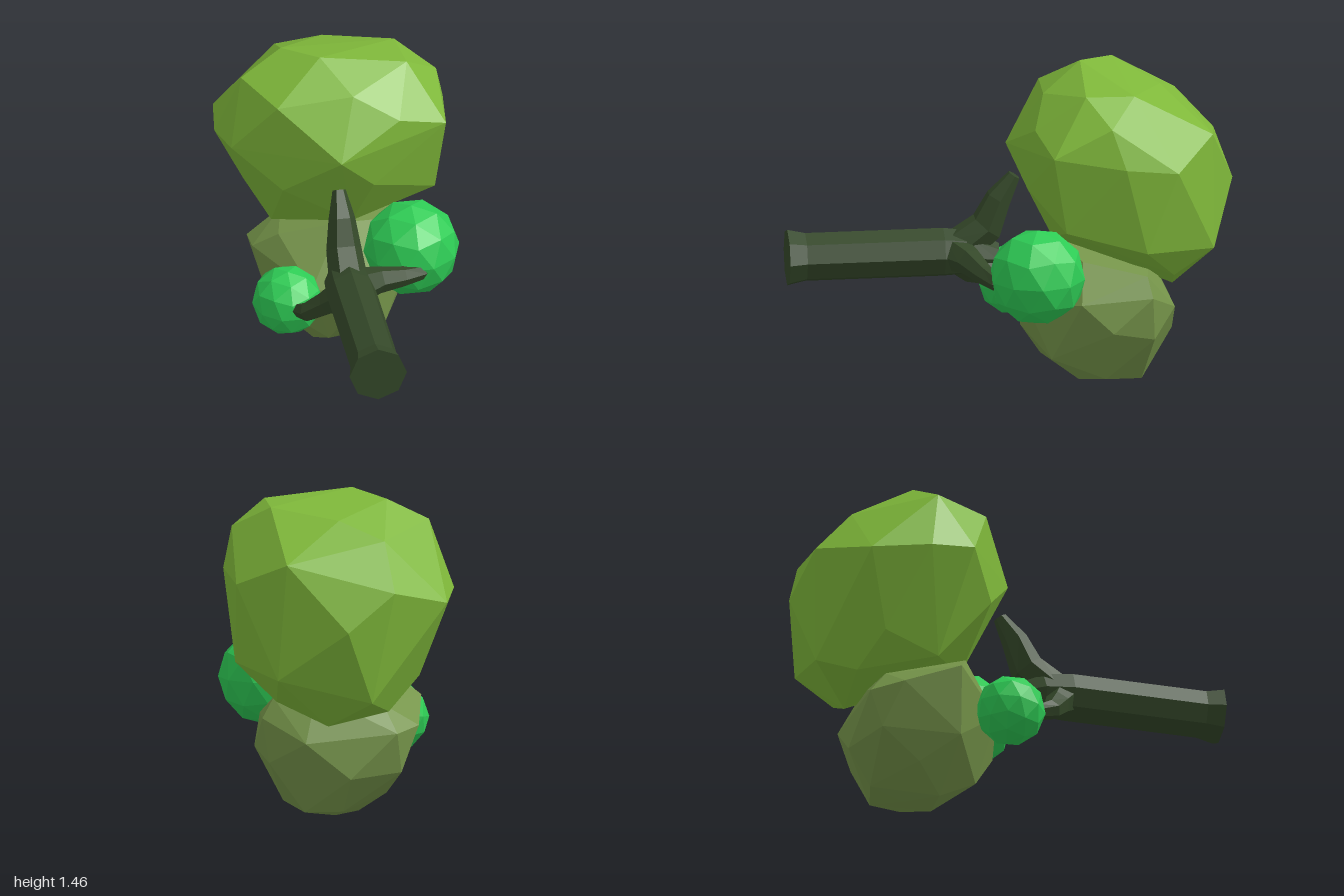
import * as THREE from 'three';
import { ConvexGeometry } from 'three/addons/geometries/ConvexGeometry.js';

const mat = (color) => new THREE.MeshStandardMaterial({ color, flatShading: true });
const v3 = (p) => new THREE.Vector3(p[0], p[1], p[2]);

// Faceted limb: rings of `sides` corners along a path of [x, y, z, radius], closed at both ends
function limb(path, sides) {
  const pts = path.map(v3);
  const pos = [], idx = [], n = pts.length;
  for (let i = 0; i < n; i++) {
    const dir = pts[Math.min(i + 1, n - 1)].clone().sub(pts[Math.max(i - 1, 0)]).normalize();
    const q = new THREE.Quaternion().setFromUnitVectors(new THREE.Vector3(0, 0, -1), dir);
    for (let s = 0; s < sides; s++) {
      const a = (s / sides) * Math.PI * 2;
      const c = new THREE.Vector3(Math.cos(a), Math.sin(a), 0).multiplyScalar(path[i][3]);
      c.applyQuaternion(q).add(pts[i]);
      pos.push(c.x, c.y, c.z);
    }
  }
  for (let i = 0; i < n - 1; i++) {
    for (let s = 0; s < sides; s++) {
      const a = i * sides + s, b = i * sides + ((s + 1) % sides);
      idx.push(a, a + sides, b, b, a + sides, b + sides);
    }
  }
  const last = (n - 1) * sides;
  for (let s = 1; s < sides - 1; s++) {
    idx.push(0, s, s + 1, last, last + s + 1, last + s);
  }
  const g = new THREE.BufferGeometry();
  g.setAttribute('position', new THREE.Float32BufferAttribute(pos, 3));
  g.setIndex(idx);
  const flat = g.toNonIndexed();
  flat.computeVertexNormals();
  return flat;
}

export function createModel() {
  const tree = new THREE.Group();
  tree.name = 'tree';
  const add = (name, geometry, material) => {
    const m = new THREE.Mesh(geometry, material);
    m.name = name;
    tree.add(m);
    return m;
  };

  // Trunk lying along z with a flared foot, and its branches
  const bark = mat(0x344829);
  add('trunk', limb([
    [-0.035, 0.597, 1, 0.13], [-0.035, 0.597, 0.92, 0.112], [-0.035, 0.597, 0.3, 0.112],
    [-0.035, 0.59, 0.17, 0.1], [-0.035, 0.57, 0.06, 0.06],
  ], 8), bark);
  const branches = {
    upperBranch: [[-0.035, 0.6, 0.25, 0.09], [-0.035, 0.71, 0.105, 0.08],
      [-0.035, 0.84, 0.05, 0.06], [-0.035, 0.945, -0.02, 0.03]],
    leftBranch: [[-0.02, 0.6, 0.26, 0.09], [0.1, 0.59, 0.195, 0.062],
      [0.22, 0.565, 0.145, 0.046], [0.31, 0.553, 0.105, 0.036], [0.33, 0.55, 0, 0.03]],
    rightBranch: [[-0.05, 0.58, 0.27, 0.085], [-0.13, 0.51, 0.22, 0.058],
      [-0.21, 0.44, 0.17, 0.045], [-0.235, 0.41, 0.1, 0.034], [-0.25, 0.4, 0, 0.028]],
    rearBranch: [[-0.035, 0.58, 0.2, 0.09], [-0.025, 0.52, 0.08, 0.065], [-0.02, 0.48, -0.12, 0.045]],
  };
  for (const [name, path] of Object.entries(branches)) add(name, limb(path, 6), bark);

  // Large crown: an irregular faceted hull
  add('largeCrown', new ConvexGeometry([
    [-0.03, 1.1, 0.02], [-0.27, 0.9, -0.13], [0.13, 0.93, -0.06], [-0.29, 1.31, -0.16], [0.25, 1.24, -0.08],
    [0.47, 1.17, -0.14], [0.43, 0.81, -0.2], [0.05, 0.68, -0.18], [-0.28, 0.6, -0.38], [-0.48, 1.06, -0.27],
    [-0.52, 1.03, -0.48], [-0.41, 1.33, -0.42], [-0.22, 1.43, -0.48], [-0.07, 1.46, -0.32], [0.05, 1.35, -0.14],
    [0.32, 1.41, -0.3], [0.3, 1.4, -0.52], [0.47, 1.3, -0.4], [0.51, 1.12, -0.46], [0.46, 1.08, -0.7],
    [0.46, 0.71, -0.56], [0.0, 1.36, -0.67], [0.24, 1.19, -0.88], [-0.24, 1.07, -0.94], [-0.2, 1.28, -0.76],
    [-0.48, 1.0, -0.75], [-0.03, 0.9, -1], [0.28, 0.67, -0.88], [-0.14, 0.57, -0.91], [-0.36, 0.66, -0.65],
    [0.05, 0.44, -0.72], [0.28, 0.55, -0.7], [-0.22, 0.51, -0.74],
  ].map(v3)), mat(0x7fb83a));

  // Lower olive crown
  add('lowerCrown', new ConvexGeometry([
    [-0.1, 0, -0.32], [0.01, 0, -0.46], [0.13, 0.03, -0.29], [0.15, 0.03, -0.57], [0.24, 0.06, -0.4],
    [-0.06, 0.1, -0.14], [0.2, 0.15, -0.16], [0.01, 0.26, -0.04], [0.14, 0.38, -0.06], [-0.15, 0.4, -0.07],
    [0.37, 0.31, -0.42], [0.34, 0.44, -0.28], [0.31, 0.26, -0.61], [0.34, 0.46, -0.6], [-0.22, 0.1, -0.45],
    [-0.3, 0.22, -0.28], [-0.38, 0.52, -0.3], [-0.36, 0.42, -0.56], [-0.27, 0.6, -0.25], [0.0, 0.66, -0.2],
    [0.2, 0.6, -0.3], [-0.05, 0.2, -0.73], [-0.26, 0.4, -0.69], [0.15, 0.36, -0.72], [-0.28, 0.22, -0.64],
    [0.1, 0.57, -0.61], [-0.2, 0.52, -0.6], [0.29, 0.55, -0.58], [-0.02, 0.04, -0.62],
  ].map(v3)), mat(0x76954a));

  // Small round tufts at the side branches
  const leaf = mat(0x2ecc55);
  const tuft = (name, r, x, y, z, turn) => {
    const m = add(name, new THREE.IcosahedronGeometry(r, 1), leaf);
    m.position.set(x, y, z);
    m.rotation.x = turn;
  };
  tuft('leftTuft', 0.217, 0.303, 0.573, -0.083, -1.017);
  tuft('rightTuft', 0.158, -0.267, 0.382, -0.04, -0.9);

  return tree;
}
